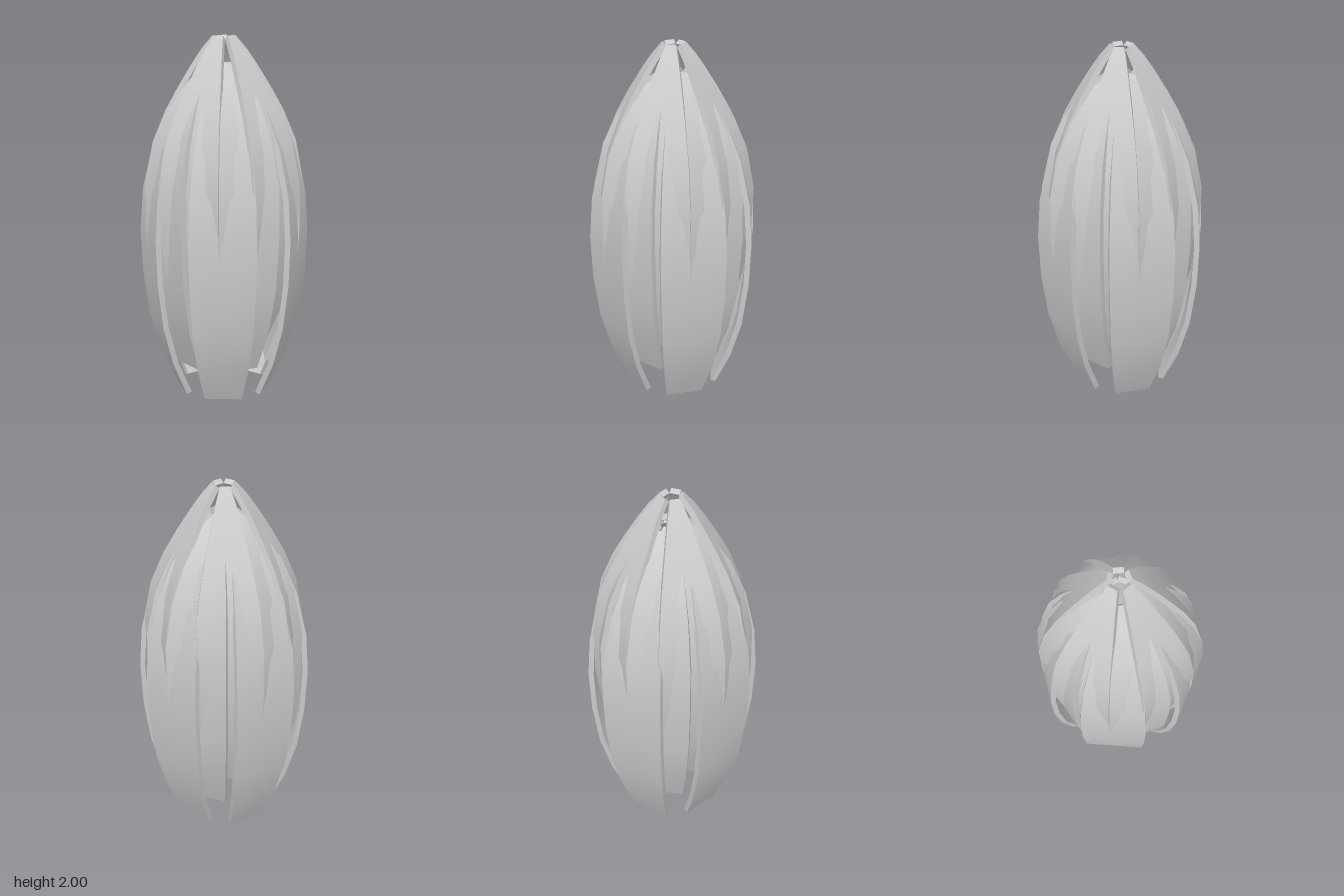
import * as THREE from 'three';

const THICKNESS = 0.03;

// Three whorls of five petals. profile: [edge radius, height] from base to tip.
const whorls = [
  { name: 'outerPetal', angle: 45, half: 22.4, profile: [
    [0.27, 0], [0.365, 0.2], [0.43, 0.42], [0.465, 0.67], [0.475, 0.92],
    [0.458, 1.15], [0.398, 1.4], [0.308, 1.6], [0.22, 1.72], [0.09, 1.82]] },
  { name: 'middlePetal', angle: 25, half: 22.5, profile: [
    [0.28, 0.17], [0.37, 0.4], [0.425, 0.65], [0.446, 0.95], [0.442, 1.2],
    [0.385, 1.45], [0.315, 1.6], [0.25, 1.7], [0.17, 1.79], [0.08, 1.85]] },
  { name: 'upperPetal', angle: 0, half: 23.9, profile: [
    [0.26, 0.3], [0.345, 0.5], [0.405, 0.73], [0.436, 0.95], [0.445, 1.2],
    [0.4, 1.43], [0.328, 1.6], [0.255, 1.73], [0.18, 1.85], [0.125, 1.93], [0.065, 2]] },
];

// Petal facing +z: flat across, curved along its length, with a solid thickness.
function petalGeometry(profile, halfDegrees) {
  const half = THREE.MathUtils.degToRad(halfDegrees);
  const last = profile.length - 1;
  const rings = profile.map(([r, y], i) => {
    const [r0, y0] = profile[Math.max(i - 1, 0)];
    const [r1, y1] = profile[Math.min(i + 1, last)];
    const normal = new THREE.Vector2(y1 - y0, (r0 - r1) * Math.cos(half)).normalize();
    const w = r * Math.sin(half);
    const z = r * Math.cos(half);
    const zi = z - normal.x * THICKNESS;
    const yi = y - normal.y * THICKNESS;
    return [[-w, y, z], [w, y, z], [w, yi, zi], [-w, yi, zi]];
  });

  const positions = [];
  const indices = [];
  const strip = (pairs) => {
    const base = positions.length / 3;
    pairs.forEach(([a, b]) => positions.push(...a, ...b));
    for (let i = 0; i < pairs.length - 1; i++) {
      const k = base + i * 2;
      indices.push(k, k + 1, k + 3, k, k + 3, k + 2);
    }
  };
  // Outer face, right edge, inner face, left edge: separate so the rims stay sharp
  for (let c = 0; c < 4; c++) strip(rings.map((q) => [q[c], q[(c + 1) % 4]]));
  // Tip and base ends
  const tip = rings[last];
  const foot = rings[0];
  strip([[tip[0], tip[1]], [tip[3], tip[2]]]);
  strip([[foot[3], foot[2]], [foot[0], foot[1]]]);

  const geometry = new THREE.BufferGeometry();
  geometry.setAttribute('position', new THREE.Float32BufferAttribute(positions, 3));
  geometry.setIndex(indices);
  geometry.computeVertexNormals();
  return geometry;
}

export function createModel() {
  const model = new THREE.Group();
  model.name = 'flowerBud';
  const material = new THREE.MeshStandardMaterial({ color: 0xcccccc });

  for (const { name, angle, half, profile } of whorls) {
    const geometry = petalGeometry(profile, half);
    const whorl = new THREE.Group();
    whorl.name = `${name}Whorl`;
    for (let i = 0; i < 5; i++) {
      const petal = new THREE.Mesh(geometry, material);
      petal.name = name;
      petal.rotation.y = THREE.MathUtils.degToRad(90 - angle - i * 72);
      whorl.add(petal);
    }
    model.add(whorl);
  }
  return model;
}
